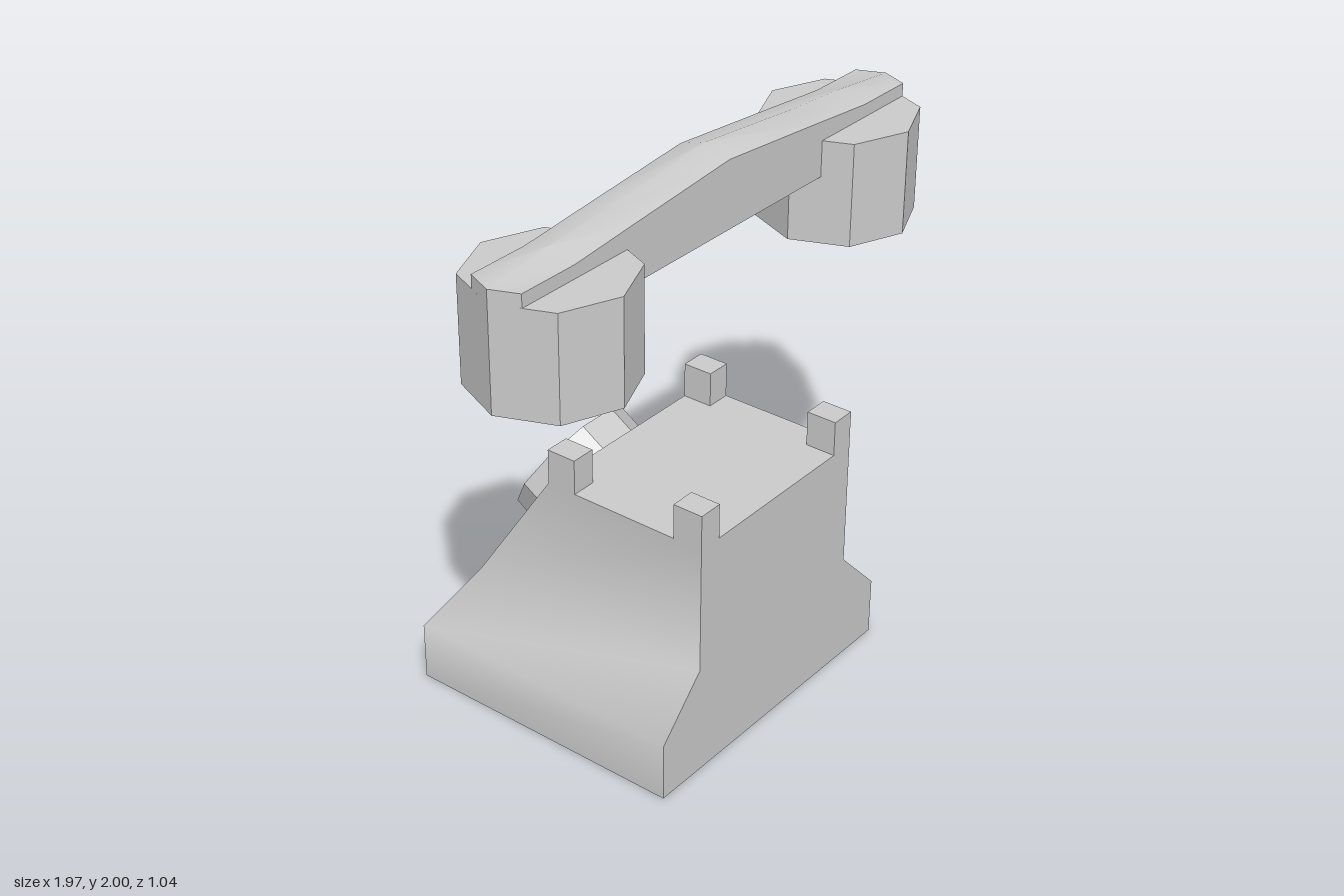
import * as THREE from 'three';
import { toCreasedNormals } from 'three/addons/utils/BufferGeometryUtils.js';

const grey = new THREE.MeshStandardMaterial({ color: 0xcccccc });
const greyFlat = new THREE.MeshStandardMaterial({ color: 0xcccccc, flatShading: true });

// Joins rings of points (counter-clockwise seen from the last ring) into a capped solid
function loft(rings, crease) {
  const n = rings[0].length;
  const index = [];
  const last = (rings.length - 1) * n;
  for (let r = 0; r < rings.length - 1; r++) {
    for (let j = 0; j < n; j++) {
      const a = r * n + j, b = r * n + (j + 1) % n;
      index.push(a, b, b + n, a, b + n, a + n);
    }
  }
  for (let j = 1; j < n - 1; j++) {
    index.push(0, j + 1, j, last, last + j, last + j + 1);
  }
  const geometry = new THREE.BufferGeometry();
  geometry.setAttribute('position', new THREE.Float32BufferAttribute(rings.flat(2), 3));
  geometry.setIndex(index);
  return toCreasedNormals(geometry, crease);
}

function add(parent, name, geometry, material, x = 0, y = 0, z = 0) {
  const mesh = new THREE.Mesh(geometry, material);
  mesh.name = name;
  mesh.position.set(x, y, z);
  parent.add(mesh);
  return mesh;
}

function createBase() {
  const base = new THREE.Group();
  base.name = 'base';

  // Flared body: [height, half width, back z], with an upright front
  const front = 0.52;
  const levels = [[0, 0.585, -0.52], [0.21, 0.585, -0.52], [0.4, 0.4, -0.41], [0.86, 0.4, -0.1]];
  const rings = levels.map(([y, w, back]) => [[w, y, front], [w, y, back], [-w, y, back], [-w, y, front]]);
  add(base, 'body', loft(rings, 0.9), grey);

  // Four cradle posts on the top corners
  const post = new THREE.BoxGeometry(0.09, 0.125, 0.11);
  for (const x of [-0.355, 0.355]) {
    for (const z of [-0.045, 0.465]) add(base, 'cradlePost', post, greyFlat, x, 0.9225, z);
  }

  // Ten-sided dial on the sloping back
  const disc = new THREE.CylinderGeometry(0.24, 0.24, 0.12, 10, 1, false, Math.PI / 2);
  add(base, 'dial', disc, greyFlat, 0, 0.645, -0.301).rotation.x = -1.007;
  return base;
}

function createHandset() {
  const handset = new THREE.Group();
  handset.name = 'handset';
  handset.position.z = 0.21;

  // Octagonal ear and mouth pieces
  const cup = new THREE.CylinderGeometry(0.268, 0.268, 0.36, 8);
  add(handset, 'earpiece', cup, greyFlat, 0.716, 1.68, 0);
  add(handset, 'mouthpiece', cup, greyFlat, -0.716, 1.68, 0);

  // Ridged handle with pointed ends: [side x, ridge x, ridge y, shoulder y, bottom y]
  const half = [
    [0, 0, 2, 1.97, 1.735],
    [0.45, 0.45, 1.955, 1.93, 1.735],
    [0.72, 0.72, 1.935, 1.905, 1.735],
    [0.945, 0.984, 1.905, 1.905, 1.85],
  ];
  const mirrored = half.slice(1).reverse().map(([s, r, ...ys]) => [-s, -r, ...ys]);
  const w = 0.094;
  const rings = [...mirrored, ...half].map(([s, r, top, shoulder, low]) => [
    [r, top, 0], [s, shoulder, w], [s, low, w], [r, low, 0], [s, low, -w], [s, shoulder, -w],
  ]);
  add(handset, 'handle', loft(rings, 0.6), grey);
  return handset;
}

export function createModel() {
  const model = new THREE.Group();
  model.name = 'telephone';
  model.add(createBase(), createHandset());
  return model;
}
